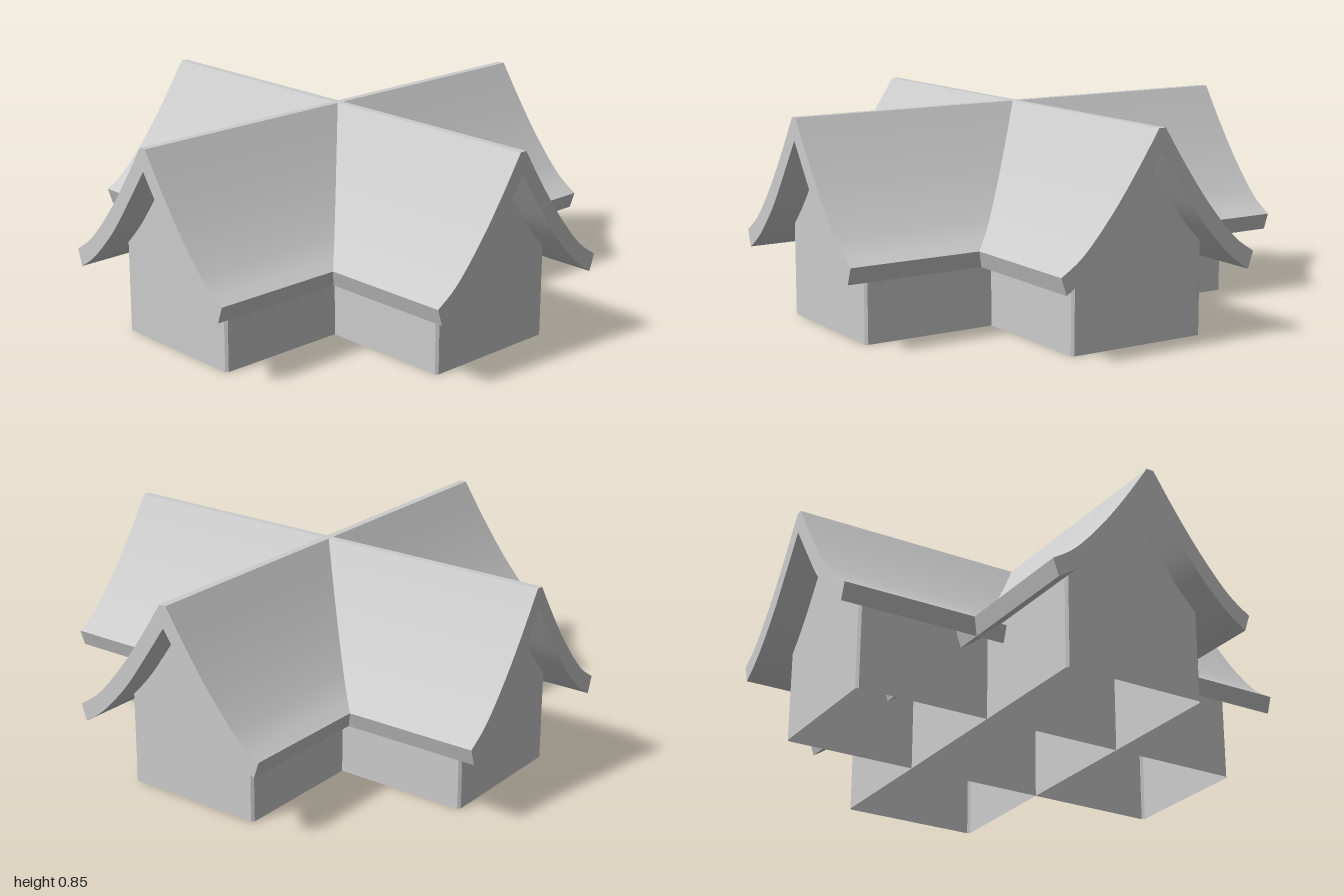
import * as THREE from 'three';
import { toCreasedNormals } from 'three/addons/utils/BufferGeometryUtils.js';

const HALF_ROOF = 0.995, HALF_WING = 0.86, HALF_WIDTH = 0.3, WALL_TOP = 0.38, CHAMFER = 0.01;

const vec = ([x, y]) => new THREE.Vector2(x, y);
const mirrored = (points) => points.map((p) => new THREE.Vector2(-p.x, p.y)).reverse();
const curve = (points, n) => new THREE.SplineCurve(points.map(vec)).getPoints(n);

// Curved slab with sweeping eaves, extruded along z
function roofGeometry() {
  const outer = curve([[0.015, 0.845], [0.1, 0.715], [0.2, 0.575], [0.3, 0.455], [0.37, 0.388], [0.443, 0.34]], 16);
  const inner = curve([[0, 0.755], [0.1, 0.61], [0.2, 0.472], [0.3, 0.364], [0.36, 0.312], [0.42, 0.272]], 16);
  const outline = [
    ...mirrored(outer), ...outer,
    ...inner.slice(1).reverse(), inner[0], ...mirrored(inner.slice(1)).reverse(),
  ];
  const geometry = new THREE.ExtrudeGeometry(new THREE.Shape(outline), { depth: 2 * HALF_ROOF, bevelEnabled: false });
  geometry.translate(0, 0, -HALF_ROOF);
  return toCreasedNormals(geometry, 0.5);
}

// Open-bottomed wall ring with slightly chamfered corners
function wallGeometry() {
  const w = HALF_WIDTH, l = HALF_WING, c = CHAMFER;
  const plan = [[w - c, l], [w, l - c], [w, c - l], [w - c, -l], [c - w, -l], [-w, c - l], [-w, l - c], [c - w, l]];
  const positions = [];
  plan.forEach(([x0, z0], i) => {
    const [x1, z1] = plan[(i + 1) % plan.length];
    positions.push(x0, 0, z0, x1, 0, z1, x1, WALL_TOP, z1, x0, 0, z0, x1, WALL_TOP, z1, x0, WALL_TOP, z0);
  });
  const geometry = new THREE.BufferGeometry();
  geometry.setAttribute('position', new THREE.Float32BufferAttribute(positions, 3));
  geometry.computeVertexNormals();
  return geometry;
}

// Upper gable, following the underside of the roof
function gableGeometry() {
  const side = [[HALF_WIDTH - CHAMFER, WALL_TOP], [0.2, 0.49], [0.1, 0.63], [0.035, 0.71]].map(vec);
  return new THREE.ShapeGeometry(new THREE.Shape([...side, ...mirrored(side)]));
}

export function createModel() {
  const model = new THREE.Group();
  model.name = 'crossGabledHouse';
  const roofMaterial = new THREE.MeshStandardMaterial({ color: 0xcccccc });
  const wallMaterial = new THREE.MeshStandardMaterial({ color: 0xcccccc, side: THREE.DoubleSide });
  const roof = roofGeometry(), walls = wallGeometry(), gable = gableGeometry();

  const add = (parent, name, geometry, material) => {
    const mesh = new THREE.Mesh(geometry, material);
    mesh.name = name;
    parent.add(mesh);
    return mesh;
  };

  // Two identical full-length wings crossing at the centre
  ['frontToBackWing', 'leftToRightWing'].forEach((name, i) => {
    const wing = new THREE.Group();
    wing.name = name;
    wing.rotation.y = i * Math.PI / 2;
    add(wing, 'roof', roof, roofMaterial);
    add(wing, 'walls', walls, wallMaterial);
    for (const end of [0, 1]) {
      const mesh = add(wing, 'gable', gable, wallMaterial);
      mesh.rotation.y = end * Math.PI;
      mesh.position.z = end ? -HALF_WING : HALF_WING;
    }
    model.add(wing);
  });
  return model;
}
